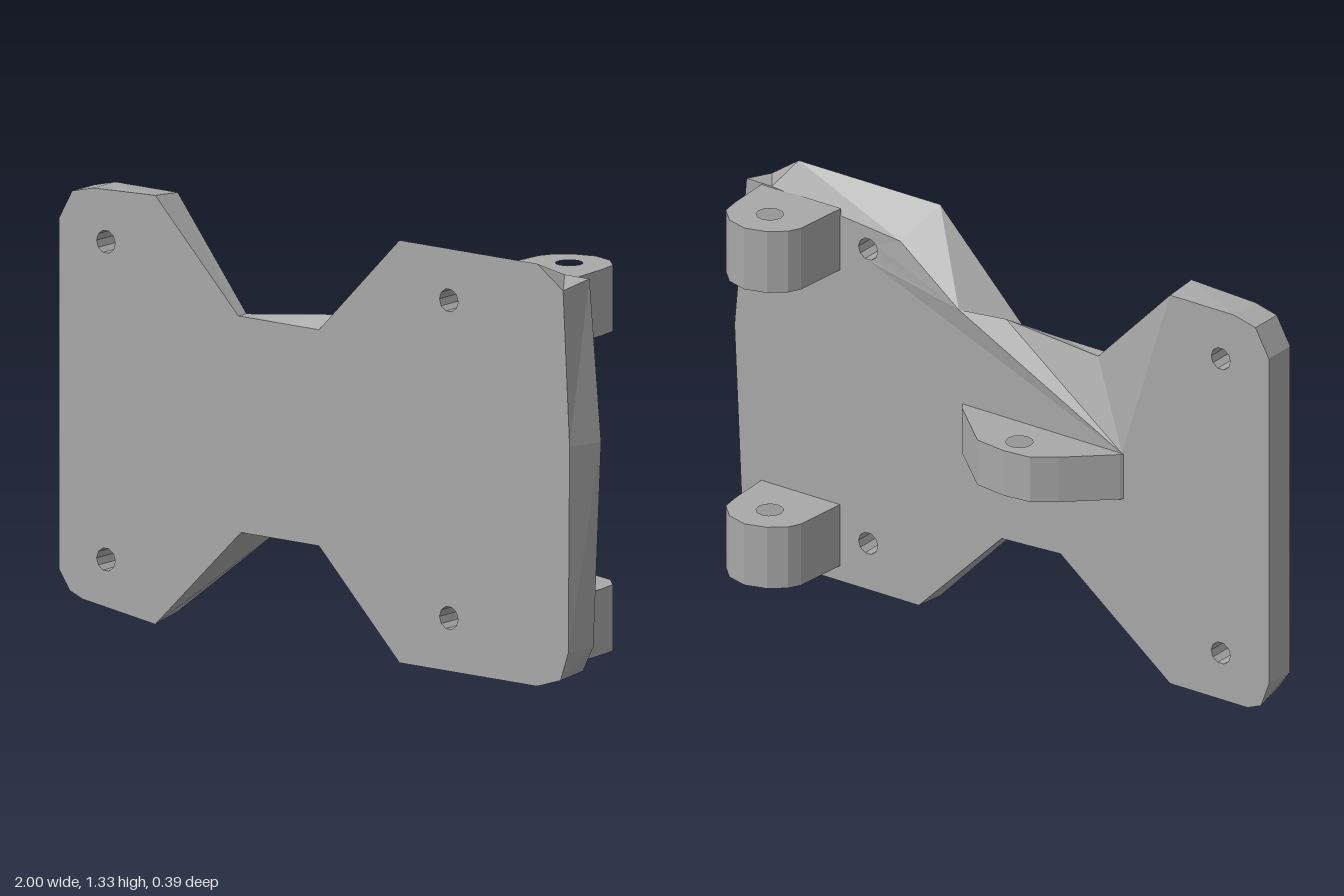
import * as THREE from 'three';

const grey = new THREE.MeshStandardMaterial({ color: 0xa8a8a8, flatShading: true });
grey.name = 'plain grey';

const FRONT = 0.2, BACK = 0.09;

// Plate edge, counter-clockwise: front x, front y, back x, back y, back z
const EDGE = [
  [-1.0, 0.12, -1.0, 0.12, BACK],
  [-0.96, 0.06, -0.97, 0.04, BACK],
  [-0.91, 0.04, -0.92, 0.02, BACK],
  [-0.63, 0.0, -0.63, 0.02, BACK],
  [-0.3, 0.33, -0.22, 0.34, BACK],
  [0.0, 0.33, 0.0, 0.33, BACK],
  [0.31, 0.01, 0.31, 0.02, BACK],
  [0.84, 0.01, 0.84, 0.02, BACK],
  [0.93, 0.04, 0.93, 0.05, BACK],
  [0.96, 0.13, 0.97, 0.13, BACK],
  [0.965, 0.77, 1.0, 0.77, BACK],
  [0.94, 1.25, 0.955, 1.27, BACK],
  [0.84, 1.32, 0.86, 1.27, BACK],
  [0.31, 1.32, 0.38, 1.22, BACK],
  [0.0, 1.0, 0.15, 1.06, 0.075],
  [-0.15, 1.0, 0.02, 1.04, 0.14],
  [-0.31, 1.0, -0.31, 1.0, 0.16],
  [-0.63, 1.33, -0.63, 1.32, BACK],
  [-0.87, 1.32, -0.87, 1.32, BACK],
  [-0.95, 1.3, -0.95, 1.3, BACK],
  [-1.0, 1.21, -1.0, 1.21, BACK],
];

function circle(cx, cy, r, n = 10) {
  return Array.from({ length: n }, (_, i) => {
    const a = (i / n) * Math.PI * 2;
    return [cx + r * Math.cos(a), cy + r * Math.sin(a)];
  });
}

function createPlate() {
  const pos = [];
  const tri = (a, b, c) => pos.push(...a, ...b, ...c);
  const strip = (f, b, inward) => f.forEach((p, i) => {
    const j = (i + 1) % f.length;
    if (inward) { tri(p, b[j], b[i]); tri(p, f[j], b[j]); }
    else { tri(p, b[i], b[j]); tri(p, b[j], f[j]); }
  });
  const cap = (outline, holes, flip) => {
    const flat = (l) => l.map((p) => new THREE.Vector2(p[0], p[1]));
    const all = [outline, ...holes].flat();
    for (const [a, b, c] of THREE.ShapeUtils.triangulateShape(flat(outline), holes.map(flat))) {
      const p = all[a], q = all[b], r = all[c];
      const ccw = (q[0] - p[0]) * (r[1] - p[1]) - (q[1] - p[1]) * (r[0] - p[0]) > 0;
      if (ccw !== flip) tri(p, q, r); else tri(p, r, q);
    }
  };

  const front = EDGE.map((e) => [e[0], e[1], FRONT]);
  const back = EDGE.map((e) => [e[2], e[3], e[4]]);
  const rings = [];
  for (const x of [-0.82, 0.5]) for (const y of [0.175, 1.16]) rings.push(circle(x, y, 0.036));
  const at = (z) => rings.map((r) => r.map((p) => [p[0], p[1], z]));
  const frontHoles = at(FRONT), backHoles = at(BACK);

  strip(front, back, false);
  frontHoles.forEach((h, i) => strip(h, backHoles[i], true));
  cap(front, frontHoles, false);

  // Flat back, with sloping faces above the middle lug
  const heel = [-0.45, 0.74, BACK];
  cap([...back.slice(0, 15), heel, ...back.slice(17)], backHoles, true);
  for (let i = 14; i < 17; i++) tri(heel, back[i + 1], back[i]);

  const g = new THREE.BufferGeometry();
  g.setAttribute('position', new THREE.Float32BufferAttribute(pos, 3));
  g.computeVertexNormals();
  const mesh = new THREE.Mesh(g, grey);
  mesh.name = 'mountingPlate';
  return mesh;
}

// Horizontal lug with a vertical pin hole; the outline is given in x and z
function createLug(name, outline, hole, y0, y1) {
  const toShape = ([x, z]) => new THREE.Vector2(x, -z);
  const shape = new THREE.Shape(outline.map(toShape));
  shape.holes.push(new THREE.Path(circle(hole[0], hole[1], 0.042, 12).map(toShape)));
  const g = new THREE.ExtrudeGeometry(shape, { depth: y1 - y0, bevelEnabled: false });
  g.rotateX(-Math.PI / 2).translate(0, y0, 0);
  const mesh = new THREE.Mesh(g, grey);
  mesh.name = name;
  return mesh;
}

export function createModel() {
  const group = new THREE.Group();
  group.name = 'hingeBracket';
  group.add(createPlate());

  // Rounded side lugs
  const side = [[0.605, 0.095], [0.62, -0.09], [0.64, -0.13], [0.69, -0.17], [0.76, -0.19],
    [0.83, -0.17], [0.88, -0.12], [0.89, -0.06], [0.9, 0.095]];
  group.add(createLug('upperLug', side, [0.755, -0.065], 1.06, 1.265));
  group.add(createLug('lowerLug', side, [0.755, -0.065], 0.07, 0.275));

  // Wide tapered lug at the waist
  const middle = [[-0.46, 0.095], [-0.45, 0.08], [-0.31, -0.045], [-0.24, -0.095], [-0.15, -0.105],
    [-0.04, -0.09], [0.13, 0.065], [0.15, 0.095]];
  group.add(createLug('middleLug', middle, [-0.15, -0.025], 0.59, 0.74));
  return group;
}
